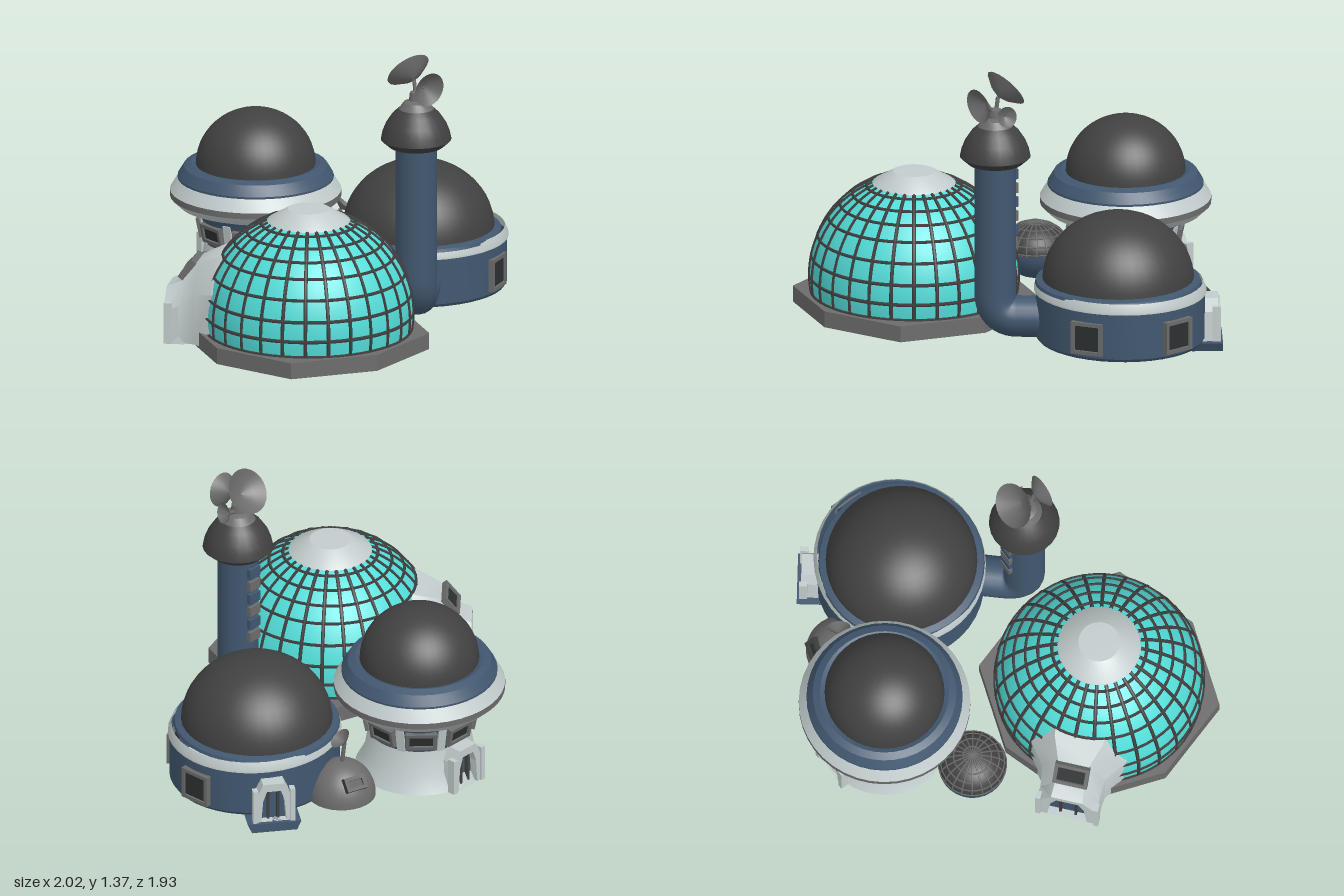
import * as THREE from 'three';
import { toCreasedNormals } from 'three/addons/utils/BufferGeometryUtils.js';

const mat = (color) => new THREE.MeshStandardMaterial({ color, side: THREE.DoubleSide });
const blue = mat(0x41576f), dark = mat(0x414141), pale = mat(0xc2cccc);
const grey = mat(0x6c6c6c), glass = mat(0x52dcd8), black = mat(0x2c3030);

function add(parent, name, geo, material, x = 0, y = 0, z = 0) {
  const m = new THREE.Mesh(geo, material);
  m.name = name;
  m.position.set(x, y, z);
  parent.add(m);
  return m;
}

function group(parent, name, x = 0, z = 0, dx = 0, dz = 1) {
  const g = new THREE.Group();
  g.name = name;
  g.position.set(x, 0, z);
  g.rotation.y = Math.atan2(dx, dz); // local +z points along (dx, dz)
  parent.add(g);
  return g;
}

// Revolved [radius, height] profile with crisp edges
function lathe(pts, segs = 40) {
  const g = new THREE.LatheGeometry(pts.map((p) => new THREE.Vector2(...p)), segs);
  return toCreasedNormals(g, 0.5);
}

// Elliptical dome profile between two latitudes in degrees
function domePts(r, h, y, from = 0, to = 90, n = 14) {
  return Array.from({ length: n + 1 }, (_, i) => {
    const a = THREE.MathUtils.degToRad(from + (to - from) * i / n);
    return [Math.max(0, r * Math.cos(a)), y + h * Math.sin(a)];
  });
}

function polygon(pts, hole) {
  const s = new THREE.Shape(pts.map((p) => new THREE.Vector2(...p)));
  if (hole) s.holes.push(new THREE.Path(hole.map((p) => new THREE.Vector2(...p))));
  return s;
}
const extrude = (s, depth) => new THREE.ExtrudeGeometry(s, { depth, bevelEnabled: false });

// Framed window, facing local +z at the given distance
function windowPanel(parent, w, h, y, dist, frame, tilt = 0) {
  const g = group(parent, 'window');
  g.position.set(0, y, dist);
  g.rotation.x = tilt;
  const rect = (a, b) => [[-a, -b], [a, -b], [a, b], [-a, b]];
  add(g, 'windowFrame', extrude(polygon(rect(w / 2, h / 2), rect(w / 2 - 0.018, h / 2 - 0.018)), 0.03), frame, 0, 0, -0.01);
  add(g, 'windowPane', new THREE.BoxGeometry(w - 0.03, h - 0.03, 0.02), black);
}

// Porch with chamfered frame, recessed door and vertical bars
function doorway(parent, from, to, w, h) {
  const g = group(parent, 'doorway');
  const hw = w / 2, y0 = 0.045;
  const outline = (a, t) => [[-a, y0], [a, y0], [a * 0.85, t * 0.75], [a * 0.55, t], [-a * 0.55, t], [-a * 0.85, t * 0.75]];
  add(g, 'doorFrame', extrude(polygon(outline(hw, h), outline(hw * 0.65, h - 0.04)), to - from), pale, 0, 0, from);
  add(g, 'door', extrude(polygon(outline(hw * 0.66, h - 0.04)), 0.02), blue, 0, 0, to - 0.06);
  for (const s of [-1, 1]) {
    add(g, 'doorBar', new THREE.BoxGeometry(0.012, h - 0.1, 0.02), dark, s * hw * 0.25, h / 2, to - 0.03);
    add(g, 'doorPost', new THREE.BoxGeometry(0.025, h * 0.7, 0.04), pale, s * hw * 0.95, y0 + h * 0.35, to - 0.01);
  }
}

// Cone dish aimed along a direction, with a strut back to a hub
function dish(parent, r, depth, pos, dir, hub) {
  const d = new THREE.Vector3(...dir).normalize(), c = new THREE.Vector3(...pos);
  const apex = c.clone().addScaledVector(d, -depth), up = new THREE.Vector3(0, 1, 0);
  add(parent, 'dish', lathe([[0, 0], [r * 0.55, depth * 0.4], [r, depth]], 24), grey, ...apex)
    .quaternion.setFromUnitVectors(up, d);
  const path = new THREE.LineCurve3(new THREE.Vector3(...hub), apex);
  add(parent, 'dishStrut', new THREE.TubeGeometry(path, 1, 0.01, 6), grey);
}

function glassDome(root) {
  const g = group(root, 'glassDome', -0.45, 0.42);
  // Eight-sided foundation slab
  const slab = Array.from({ length: 8 }, (_, i) => {
    const a = i * Math.PI / 4, r = i % 2 ? 0.585 : 0.55;
    return [r * Math.cos(a), r * Math.sin(a)];
  });
  add(g, 'foundation', extrude(polygon(slab), 0.08), grey, 0, 0.12, 0).rotation.x = Math.PI / 2;
  const R = 0.5, cy = 0.2, rad = THREE.MathUtils.degToRad;
  add(g, 'glassShell', lathe(domePts(R, R, cy, -9.5, 67), 56), glass);
  add(g, 'domeCap', lathe([[0.205, 0.65], [0.195, 0.665], [0.1, 0.72], [0, 0.722]]), pale);
  for (let i = 0; i < 28; i++) {
    const rib = add(g, 'domeRib', new THREE.TorusGeometry(R, 0.009, 4, 16, rad(76)), dark, 0, cy, 0);
    rib.rotation.set(0, (i / 28) * Math.PI * 2, rad(-9.5));
  }
  for (const lat of [-9, 0, 11, 23, 35, 45, 54, 63]) {
    const a = rad(lat);
    add(g, 'domeRing', new THREE.TorusGeometry(R * Math.cos(a), 0.009, 4, 56), dark, 0, cy + R * Math.sin(a), 0)
      .rotation.x = Math.PI / 2;
  }
  // Flared entrance hood lofted outwards through the shell
  const porch = group(g, 'entrance', 0, 0, -0.66, -0.75);
  const sections = [[0.36, 0.25, 0.5], [0.43, 0.235, 0.48], [0.53, 0.155, 0.44], [0.61, 0.145, 0.34], [0.68, 0.155, 0.31]]
    .map(([z, w, t]) => [[-w, 0.05], [-w, t * 0.68], [-w * 0.5, t], [w * 0.5, t], [w, t * 0.68], [w, 0.05]].map(([x, y]) => [x, y, z]));
  const pos = [];
  for (let i = 0; i < sections.length - 1; i++) {
    for (let j = 0; j < 5; j++) {
      const [a, b, c, d] = [sections[i][j], sections[i + 1][j], sections[i + 1][j + 1], sections[i][j + 1]];
      pos.push(...a, ...b, ...c, ...a, ...c, ...d);
    }
  }
  const hood = new THREE.BufferGeometry();
  hood.setAttribute('position', new THREE.Float32BufferAttribute(pos, 3));
  add(porch, 'entranceHood', toCreasedNormals(hood, 0.6), pale);
  doorway(porch, 0.58, 0.67, 0.3, 0.29);
  windowPanel(porch, 0.17, 0.11, 0.395, 0.575, grey, -0.67);
}

function tower(root) {
  const g = group(root, 'tower'), x = 0.187, z = 0.43;
  // Column bending into a pipe that meets the round house
  const path = new THREE.CurvePath();
  const v = (a, b, c) => new THREE.Vector3(a, b, c);
  path.add(new THREE.LineCurve3(v(x, 0.94, z), v(x, 0.27, z)));
  path.add(new THREE.QuadraticBezierCurve3(v(x, 0.27, z), v(x, 0.15, z), v(x + 0.07, 0.15, z - 0.08)));
  path.add(new THREE.LineCurve3(v(x + 0.07, 0.15, z - 0.08), v(0.4, 0.15, 0.19)));
  add(g, 'column', new THREE.TubeGeometry(path, 60, 0.1, 20), blue);
  for (let i = 0; i < 6; i++) {
    add(g, 'columnStep', new THREE.BoxGeometry(0.07, 0.05, 0.06), i % 2 ? blue : grey, x, 0.5 + i * 0.07, z - 0.085);
  }
  add(g, 'towerRoof', lathe([[0.09, 0.91], [0.13, 0.92], [0.17, 0.955], [0.163, 0.99], [0.145, 1.035], [0.115, 1.08], [0.085, 1.108]], 24), dark, x, 0, z);
  add(g, 'dishBase', lathe([[0.085, 1.105], [0.06, 1.14], [0.035, 1.15], [0.03, 1.19], [0, 1.2]], 20), grey, x, 0, z);
  const hub = [x, 1.15, z];
  dish(g, 0.112, 0.06, [x, 1.285, 0.365], [0, 0.6, -0.8], hub);
  dish(g, 0.085, 0.05, [x, 1.225, 0.535], [0, -0.12, 1], hub);
  dish(g, 0.05, 0.035, [0.285, 1.175, 0.435], [1, 0.25, 0.25], hub);
}

function roundHouse(root) {
  const g = group(root, 'roundHouse', 0.55, -0.035);
  add(g, 'houseDome', lathe(domePts(0.365, 0.335, 0.33)), dark);
  add(g, 'roofLedge', lathe([[0.4, 0.32], [0.395, 0.335], [0.36, 0.345]]), blue);
  const band = add(g, 'wallBand', lathe([[0.407, 0.285], [0.407, 0.295], [0.39, 0.335]]), pale, 0.015);
  const wall = add(g, 'wall', lathe([[0.39, 0.045], [0.4, 0.06], [0.4, 0.285], [0.407, 0.285]]), blue, 0.015);
  band.scale.x = wall.scale.x = 1.05;
  for (const [dx, dz, r] of [[1, -0.03, 0.435], [0.5, 0.86, 0.405]]) {
    windowPanel(group(g, 'houseWindow', 0, 0, dx, dz), 0.16, 0.16, 0.155, r, grey);
  }
  const porch = group(g, 'houseEntrance', 0, 0, 0.6, -0.8);
  doorway(porch, 0.36, 0.48, 0.19, 0.25);
  add(porch, 'doorStep', extrude(polygon([[-0.11, 0], [0.11, 0], [0.13, 0.045], [-0.13, 0.045]]), 0.15), blue, 0, 0, 0.35);
}

function ringHouse(root) {
  const g = group(root, 'ringHouse', -0.04, -0.552);
  add(g, 'upperDome', lathe(domePts(0.288, 0.275, 0.63)), dark);
  add(g, 'upperRing', lathe([[0.375, 0.56], [0.375, 0.575], [0.345, 0.625], [0.31, 0.64], [0.28, 0.63]]), blue);
  add(g, 'ringTop', lathe([[0.412, 0.505], [0.375, 0.565]]), pale);
  add(g, 'ringEdge', lathe([[0.412, 0.475], [0.412, 0.505]]), grey);
  add(g, 'ringUnderside', lathe([[0.28, 0.405], [0.37, 0.435], [0.412, 0.475]]), pale);
  add(g, 'neck', lathe([[0.245, 0.25], [0.255, 0.34], [0.285, 0.41]]), blue);
  add(g, 'flaredBase', lathe([[0.31, 0.045], [0.265, 0.13], [0.245, 0.25]]), pale);
  // Slanted windows with pale piers between them
  for (let i = 0; i < 8; i++) {
    const a = (i * Math.PI) / 4, side = group(g, 'neckSide', 0, 0, Math.sin(a), Math.cos(a));
    windowPanel(side, 0.15, 0.095, 0.32, 0.252, grey, 0.2);
    const b = a + Math.PI / 8;
    const pier = group(g, 'neckPier', 0, 0, Math.sin(b), Math.cos(b));
    add(pier, 'pier', new THREE.BoxGeometry(0.04, 0.14, 0.03), pale, 0, 0.32, 0.25).rotation.x = 0.2;
  }
  doorway(group(g, 'ringEntrance', 0, 0, 0, -1), 0.2, 0.32, 0.2, 0.26);
}

function pods(root) {
  // Ribbed storage pod
  const pod = group(root, 'storagePod', -0.45, -0.325);
  add(pod, 'podTop', lathe(domePts(0.162, 0.13, 0.185), 28), dark);
  add(pod, 'podBottom', lathe(domePts(0.165, 0.145, 0.185, -90, 0), 28), blue);
  for (const lat of [3, 20, 38, 56, 74]) {
    const a = THREE.MathUtils.degToRad(lat);
    add(pod, 'podRing', new THREE.TorusGeometry(0.163 * Math.cos(a), 0.004, 4, 28), grey, 0, 0.185 + 0.131 * Math.sin(a), 0)
      .rotation.x = Math.PI / 2;
  }
  for (let i = 0; i < 10; i++) {
    const rib = add(pod, 'podRib', new THREE.TorusGeometry(0.163, 0.004, 4, 16, Math.PI), grey, 0, 0.185, 0);
    rib.scale.y = 0.8;
    rib.rotation.y = (i / 10) * Math.PI;
  }
  // Open-bottomed relay hut with a small dish
  const hut = group(root, 'relayHut', 0.43, -0.48);
  add(hut, 'hutShell', lathe(domePts(0.165, 0.18, 0.05), 28), grey);
  windowPanel(group(hut, 'hutWindow', 0, 0, 0.3, -1), 0.11, 0.07, 0.165, 0.125, dark, -0.7);
  dish(hut, 0.055, 0.035, [0.01, 0.36, 0], [0.5, 0.7, 0.3], [0, 0.2, 0]);
}

export function createModel() {
  const root = new THREE.Group();
  root.name = 'domeBase';
  glassDome(root);
  tower(root);
  roundHouse(root);
  ringHouse(root);
  pods(root);
  return root;
}
